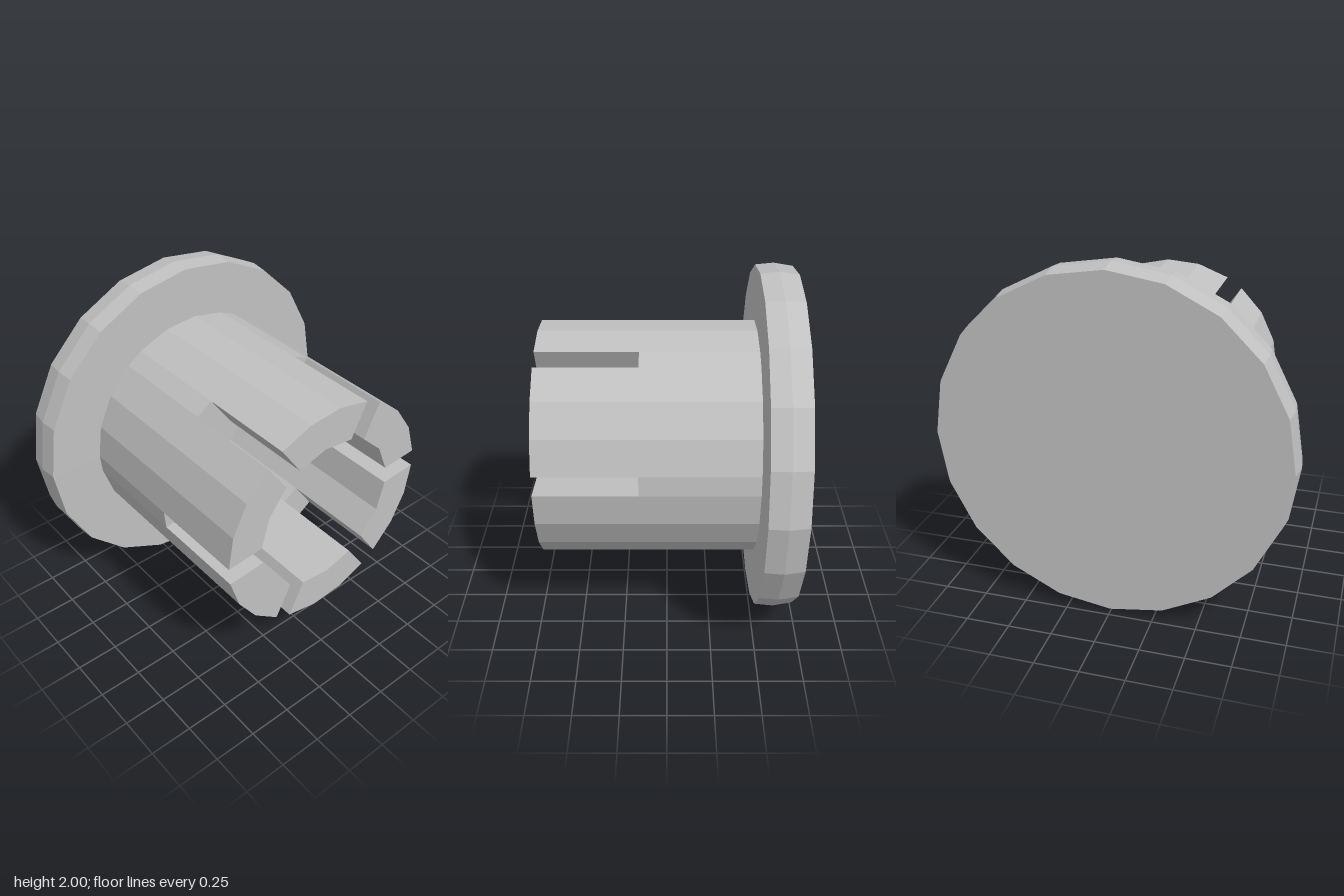
import * as THREE from 'three';

const OUTER = 0.68, INNER = 0.46, SLOT = 0.11;
const FLANGE_FRONT = -0.5, SLOT_END = 0.15, FRONT = 0.715;
const SLOT_START = THREE.MathUtils.degToRad(4.5);
const STEP = Math.PI / 3;

// Points on one finger's arc, kept clear of the parallel-sided slots
function arc(k, radius, facets) {
  const gap = Math.asin(SLOT / 2 / radius);
  const points = [];
  for (let i = 0; i <= facets; i++) {
    const a = SLOT_START + k * STEP + gap + (STEP - 2 * gap) * i / facets;
    points.push(new THREE.Vector2(Math.cos(a) * radius, Math.sin(a) * radius));
  }
  return points;
}

function extrude(shape, z0, z1) {
  const g = new THREE.ExtrudeGeometry(shape, { depth: z1 - z0, bevelEnabled: false });
  return g.translate(0, 0, z0);
}

export function createModel() {
  const model = new THREE.Group();
  model.name = 'slottedPlug';
  const grey = new THREE.MeshStandardMaterial({ color: 0xc0c0c0, flatShading: true });
  grey.name = 'plainGrey';

  const add = (name, geometry) => {
    const mesh = new THREE.Mesh(geometry, grey);
    mesh.name = name;
    mesh.position.y = 1;
    model.add(mesh);
  };

  // Round flange with a slightly bulged rim
  const profile = [[0, -0.72], [0.982, -0.72], [1, -0.61], [0.99, FLANGE_FRONT - 0.005], [0.66, FLANGE_FRONT], [0, FLANGE_FRONT]]
    .map(([r, z]) => new THREE.Vector2(r, z));
  add('flange', new THREE.LatheGeometry(profile, 20).rotateX(Math.PI / 2));

  // Solid collar behind the slots, open bore
  const outer = [], inner = [];
  for (let k = 0; k < 6; k++) {
    outer.push(...arc(k, OUTER, 3));
    inner.push(...arc(k, INNER, 2));
  }
  const ring = new THREE.Shape(outer);
  ring.holes.push(new THREE.Path(inner));
  add('collar', extrude(ring, FLANGE_FRONT - 0.01, SLOT_END));

  // Six fingers between the slots
  for (let k = 0; k < 6; k++) {
    const outline = [...arc(k, OUTER, 3), ...arc(k, INNER, 2).reverse()];
    add('finger' + (k + 1), extrude(new THREE.Shape(outline), SLOT_END, FRONT));
  }
  return model;
}
